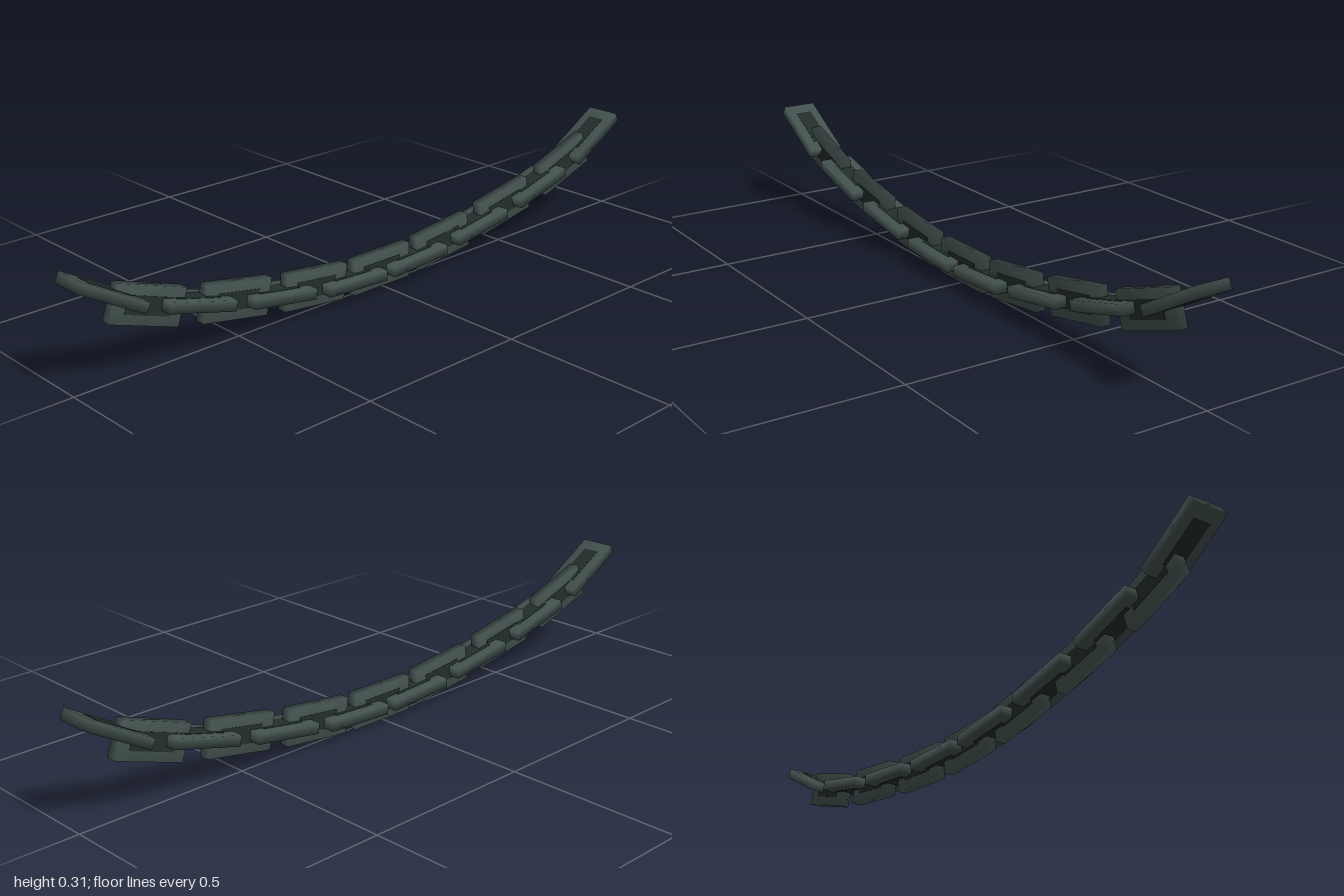
import * as THREE from 'three';
import { mergeVertices } from 'three/addons/utils/BufferGeometryUtils.js';

const LENGTH = 0.21, WIDTH = 0.103, THICK = 0.03;

// Block whose normals are averaged at the corners for soft shading
function softBox(w, h, d) {
  const box = new THREE.BoxGeometry(w, h, d);
  box.deleteAttribute('normal');
  box.deleteAttribute('uv');
  const soft = mergeVertices(box);
  soft.computeVertexNormals();
  return soft;
}

export function createModel() {
  const model = new THREE.Group();
  model.name = 'chain';

  const iron = new THREE.MeshStandardMaterial({ color: 0x43524f });
  iron.name = 'iron';
  const darkIron = new THREE.MeshStandardMaterial({ color: 0x232e2c });
  darkIron.name = 'dark iron';

  const bodyGeometry = softBox(WIDTH, THICK, LENGTH);
  const eyeGeometry = new THREE.BoxGeometry(0.05, 0.002, 0.135);

  // One link lying flat along z, with a dark eye on both broad faces
  function addLink(name, z, y, tilt, upright) {
    const link = new THREE.Group();
    link.name = name;
    const body = new THREE.Mesh(bodyGeometry, iron);
    body.name = 'linkBody';
    link.add(body);
    for (const side of [-1, 1]) {
      const eye = new THREE.Mesh(eyeGeometry, darkIron);
      eye.name = 'linkEye';
      eye.position.y = side * THICK / 2;
      link.add(eye);
    }
    link.position.set(0.006 * z, y, z);
    // Roll upright links a quarter turn, then pitch along the sag
    link.rotation.set(-THREE.MathUtils.degToRad(tilt), 0, upright ? Math.PI / 2 : 0);
    model.add(link);
  }

  // Half of the hanging curve: z, y, tilt in degrees, upright
  const half = [
    [0.12, 0.053, 3, false],
    [0.245, 0.068, 6.5, true],
    [0.38, 0.086, 9, false],
    [0.512, 0.111, 10.5, true],
    [0.645, 0.145, 15, false],
    [0.785, 0.18, 19, true],
    [0.902, 0.245, 30, false],
  ];

  addLink('middleLink', 0, 0.0525, 0, true);
  half.forEach(([z, y, tilt, upright], i) => {
    addLink(`frontLink${i + 1}`, z, y, tilt, upright);
    addLink(`backLink${i + 1}`, -z, y, -tilt, upright);
  });
  return model;
}
